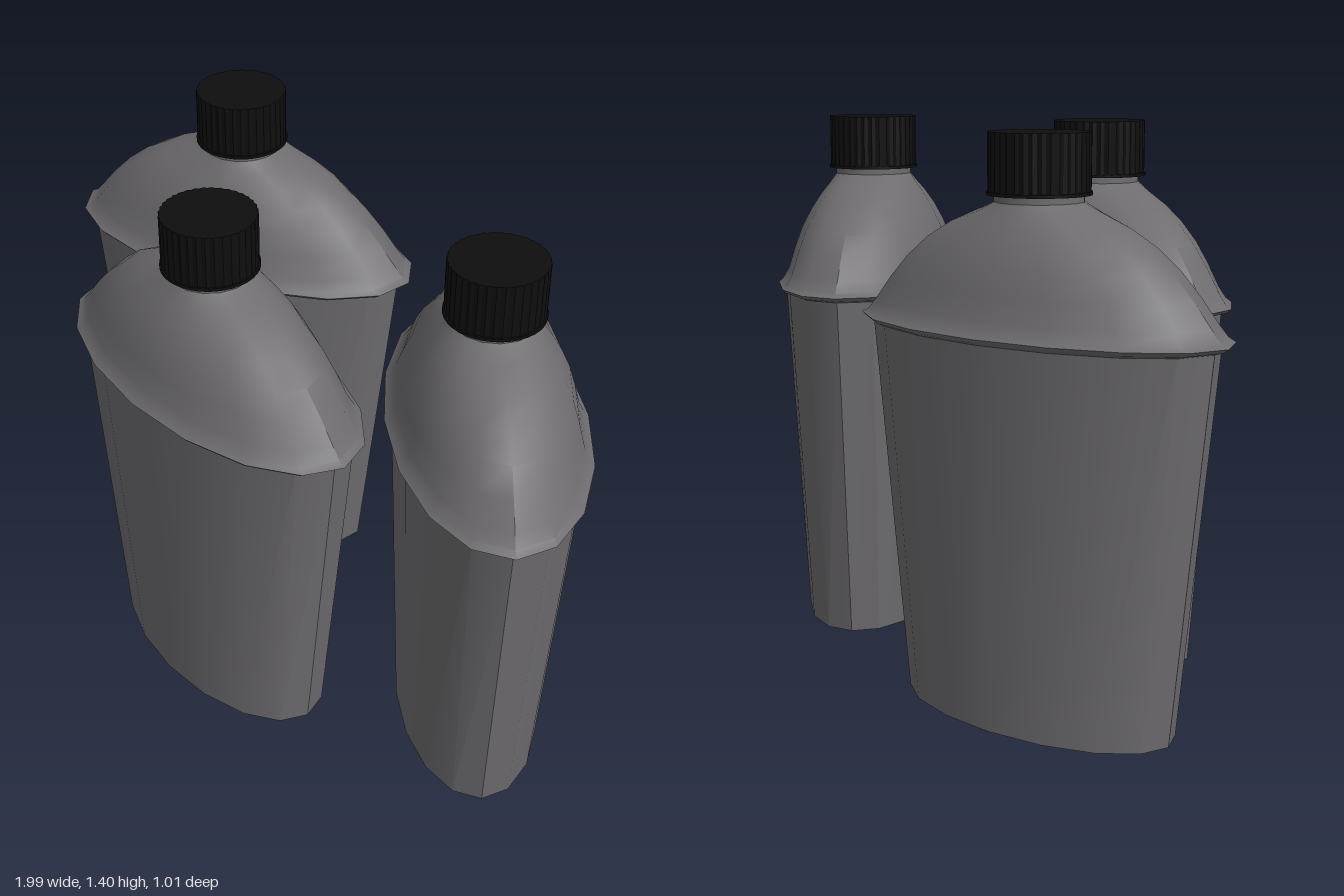
import * as THREE from 'three';
import { toCreasedNormals } from 'three/addons/utils/BufferGeometryUtils.js';

const SIDES = 16;

// Flask cross-sections from base to neck: [y, half width, half depth]
const SECTIONS = [
  [0, 0.385, 0.19],
  [0.936, 0.486, 0.232],
  [0.942, 0.508, 0.243],
  [0.952, 0.522, 0.251],
  [0.962, 0.502, 0.24],
  [0.99, 0.478, 0.224],
  [1.045, 0.432, 0.209],
  [1.1, 0.378, 0.191],
  [1.15, 0.315, 0.167],
  [1.19, 0.242, 0.143],
  [1.22, 0.165, 0.122],
  [1.238, 0.118, 0.111],
  [1.244, 0.107, 0.107],
  [1.27, 0.107, 0.107],
];

// Skin of elliptical rings, closed at the base
function flaskGeometry() {
  const positions = [];
  const index = [];
  for (const [y, rx, rz] of SECTIONS) {
    for (let j = 0; j < SIDES; j++) {
      const t = (j / SIDES) * Math.PI * 2;
      positions.push(rx * Math.cos(t), y, rz * Math.sin(t));
    }
  }
  for (let i = 0; i < SECTIONS.length - 1; i++) {
    for (let j = 0; j < SIDES; j++) {
      const k = (j + 1) % SIDES;
      const a = i * SIDES + j, b = i * SIDES + k;
      index.push(a, a + SIDES, b, b, a + SIDES, b + SIDES);
    }
  }
  const centre = positions.length / 3;
  positions.push(0, 0, 0);
  for (let j = 0; j < SIDES; j++) index.push(centre, j, (j + 1) % SIDES);

  const geometry = new THREE.BufferGeometry();
  geometry.setAttribute('position', new THREE.Float32BufferAttribute(positions, 3));
  geometry.setIndex(index);
  return toCreasedNormals(geometry, THREE.MathUtils.degToRad(31));
}

// Screw cap with fine vertical ribs
function capGeometry() {
  const ribs = 36;
  const geometry = new THREE.CylinderGeometry(0.121, 0.121, 0.137, ribs * 2);
  const p = geometry.attributes.position;
  for (let i = 0; i < p.count; i++) {
    const step = Math.round((Math.atan2(p.getX(i), p.getZ(i)) / Math.PI) * ribs);
    const s = step % 2 === 0 ? 1 : 0.97;
    p.setX(i, p.getX(i) * s);
    p.setZ(i, p.getZ(i) * s);
  }
  return toCreasedNormals(geometry, 0.3);
}

export function createModel() {
  const grey = new THREE.MeshStandardMaterial({ color: 0x6e6c6f });
  grey.name = 'greyPlastic';
  const black = new THREE.MeshStandardMaterial({ color: 0x0e0e0e });
  black.name = 'blackPlastic';

  const flaskGeo = flaskGeometry();
  const capGeo = capGeometry();
  const collarGeo = new THREE.CylinderGeometry(0.124, 0.124, 0.008, 36);

  function canteen(name, x, z, degrees) {
    const group = new THREE.Group();
    group.name = name;
    const add = (part, geometry, material, y) => {
      const mesh = new THREE.Mesh(geometry, material);
      mesh.name = part;
      mesh.position.y = y;
      group.add(mesh);
    };
    add('flask', flaskGeo, grey, 0);
    add('capCollar', collarGeo, black, 1.264);
    add('cap', capGeo, black, 1.3365);
    group.position.set(x, 0, z);
    group.rotation.y = THREE.MathUtils.degToRad(degrees);
    return group;
  }

  const model = new THREE.Group();
  model.name = 'canteens';
  model.add(
    canteen('frontCanteen', -0.037, 0.258, 0),
    canteen('rightCanteen', -0.51, -0.192, 22.5),
    canteen('leftCanteen', 0.547, -0.14, -36),
  );
  return model;
}
